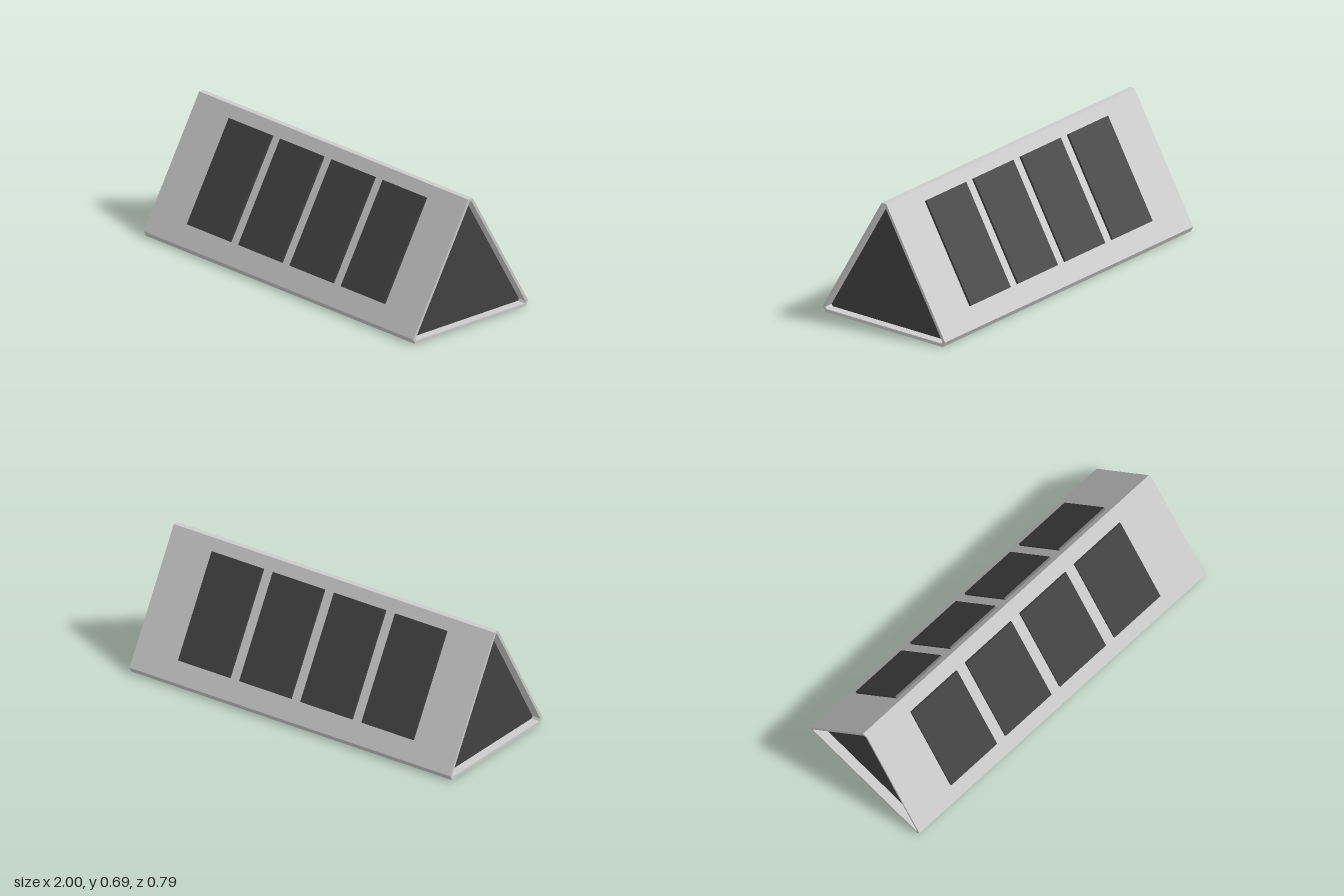
import * as THREE from 'three';

const LENGTH = 2;
const RECESS = 0.05;

// Half outlines as [z, y], mirrored into a triangle with clipped corners
const OUTER = [[0.38, 0], [0.395, 0.028], [0.015, 0.685]];
const INNER = [[0.371, 0.017], [0.378, 0.028], [0.006, 0.671]];

function outline(half) {
  const mirrored = half.map(([z, y]) => [-z, y]).reverse();
  return [...half, ...mirrored].map(([z, y]) => new THREE.Vector2(z, y));
}

// Prism with its length along x, centred on the given x
function prism(shape, length, x) {
  return new THREE.ExtrudeGeometry(shape, { depth: length, bevelEnabled: false })
    .translate(0, 0, -length / 2)
    .rotateY(Math.PI / 2)
    .translate(x, 0, 0);
}

export function createModel() {
  const model = new THREE.Group();
  const grey = new THREE.MeshStandardMaterial({ color: 0xcccccc, flatShading: true });
  const dark = new THREE.MeshStandardMaterial({ color: 0x424242, flatShading: true });

  const add = (parent, name, geometry, material) => {
    const mesh = new THREE.Mesh(geometry, material);
    mesh.name = name;
    parent.add(mesh);
    return mesh;
  };

  // Hollow triangular body
  const shell = new THREE.Shape(outline(OUTER));
  shell.holes.push(new THREE.Path(outline(INNER)));
  add(model, 'triangularShell', prism(shell, LENGTH, 0), grey);

  // Dark end panels set back inside the shell
  const thickness = 0.015;
  const endShape = new THREE.Shape(outline(INNER));
  for (const [side, name] of [[1, 'leftEndPanel'], [-1, 'rightEndPanel']]) {
    const x = side * (LENGTH / 2 - RECESS - thickness / 2);
    add(model, name, prism(endShape, thickness, x), dark);
  }

  // Four raised plates on each sloping face
  const plate = new THREE.BoxGeometry(0.321, 0.577, 0.012);
  for (const [name, turn] of [['frontPlates', 0], ['backPlates', Math.PI]]) {
    const row = new THREE.Group();
    row.name = name;
    row.rotation.y = turn;
    for (let i = 0; i < 4; i++) {
      const mesh = add(row, `plate${i + 1}`, plate, dark);
      mesh.position.set((i - 1.5) * 0.381, 0.3795, 0.199);
      mesh.rotation.x = -Math.PI / 6;
    }
    model.add(row);
  }

  return model;
}
